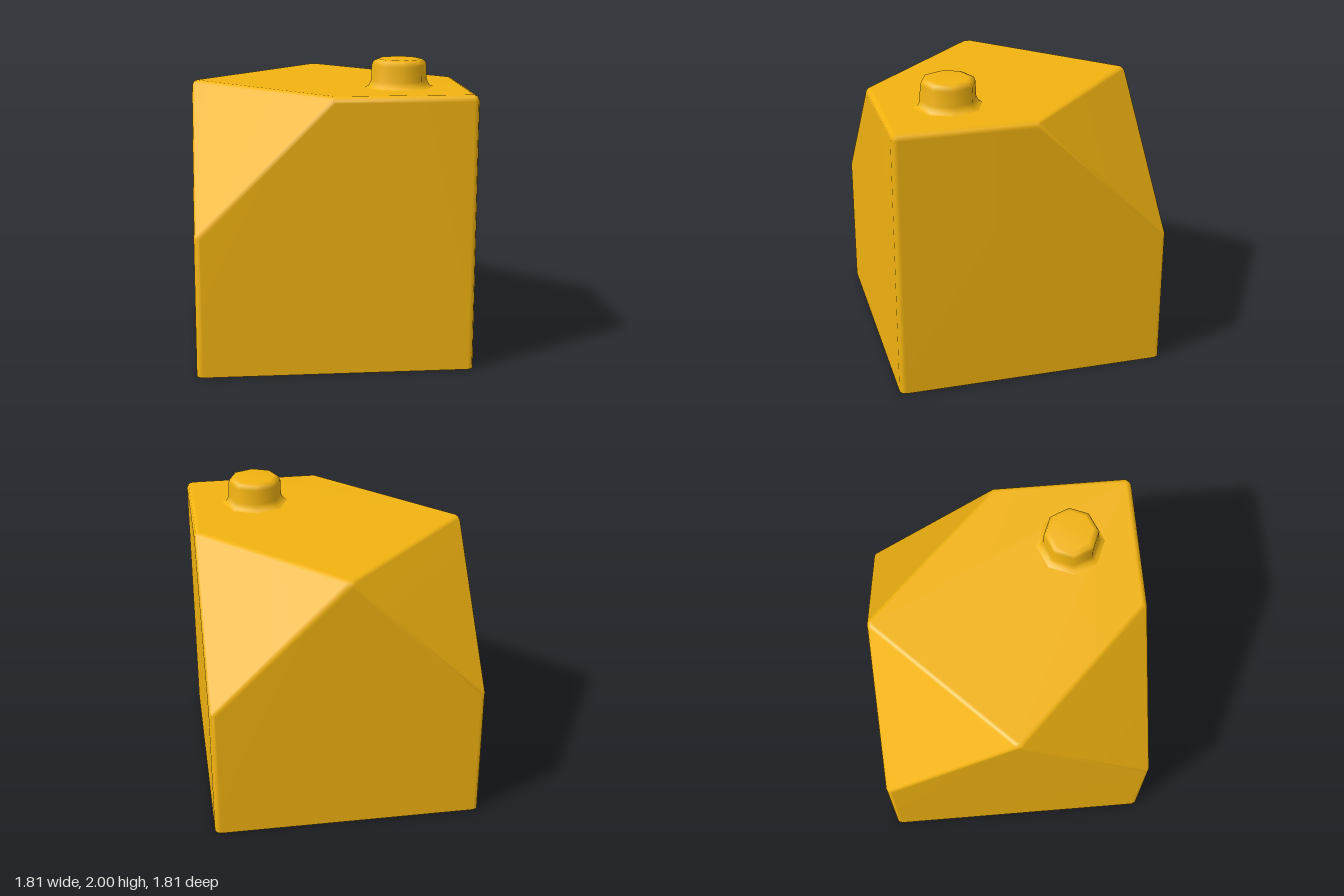
import * as THREE from 'three';
import { ConvexGeometry } from 'three/addons/geometries/ConvexGeometry.js';
import { mergeVertices, toCreasedNormals } from 'three/addons/utils/BufferGeometryUtils.js';

const H = 0.907, TOP = 1.815, BEVEL = 0.04;            // outer block
const INNER_H = 0.83, INNER_TOP = 1.738, INNER_CUT = 0.81; // cavity
const PEG = 0.453;                                     // stud and tube offset
const CUT_CORNERS = [[-1, -1], [1, -1], [-1, 1]];

const NORMALS = [[1, 0, 0], [-1, 0, 0], [0, 0, 1], [0, 0, -1], [0, 1, 0],
  ...CUT_CORNERS.map(([sx, sz]) => [sx, 1, sz])].map(n => new THREE.Vector3(...n).normalize());

// Box with three top corners sliced off, open at the bottom, edges rounded by r
function cutBlock(half, height, cut, r) {
  const h = half - r, top = height - r, c = cut - (3 - Math.sqrt(3)) * r;
  const core = [];
  for (const sx of [-1, 1]) for (const sz of [-1, 1]) core.push(new THREE.Vector3(sx * h, 0, sz * h));
  core.push(new THREE.Vector3(h, top, h));
  for (const [sx, sz] of CUT_CORNERS) {
    core.push(
      new THREE.Vector3(sx * h, top - c, sz * h),
      new THREE.Vector3(sx * (h - c), top, sz * h),
      new THREE.Vector3(sx * h, top, sz * (h - c)));
  }
  let points = core;
  if (r > 0) {
    // push each core corner out along the normals of the faces it touches
    points = [];
    const reach = NORMALS.map(n => Math.max(...core.map(p => p.dot(n))));
    for (const p of core) {
      const touching = NORMALS.filter((n, i) => reach[i] - p.dot(n) < 1e-6);
      touching.forEach((a, i) => touching.slice(i).forEach(b => {
        points.push(p.clone().addScaledVector(a.clone().add(b).normalize(), r));
      }));
    }
  }
  const hull = new ConvexGeometry(points);
  const pos = hull.attributes.position, kept = [];
  for (let i = 0; i < pos.count; i += 3) {
    if (Math.max(pos.getY(i), pos.getY(i + 1), pos.getY(i + 2)) < 1e-5) continue;
    // the cavity (r = 0) is seen from within, so its faces are turned over
    for (const k of r > 0 ? [0, 1, 2] : [0, 2, 1]) kept.push(pos.getX(i + k), pos.getY(i + k), pos.getZ(i + k));
  }
  const geo = new THREE.BufferGeometry();
  geo.setAttribute('position', new THREE.Float32BufferAttribute(kept, 3));
  if (r === 0) {
    geo.computeVertexNormals();
    return geo;
  }
  const smooth = mergeVertices(geo);
  smooth.computeVertexNormals();
  return smooth;
}

// Flat ring closing the wall at the bottom
function rimGeometry() {
  const s = new THREE.Shape(), k = H - BEVEL;
  [[1, 1], [-1, 1], [-1, -1], [1, -1]].forEach(([x, y], i) =>
    s.absarc(x * k, y * k, BEVEL, i * Math.PI / 2, (i + 1) * Math.PI / 2, false));
  const a = INNER_H;
  s.holes.push(new THREE.Path([[-a, -a], [-a, a], [a, a], [a, -a]].map(p => new THREE.Vector2(...p))));
  return new THREE.ShapeGeometry(s, 2).rotateX(Math.PI / 2);
}

const lathe = (profile, sides) =>
  new THREE.LatheGeometry(profile.map(p => new THREE.Vector2(...p)), sides);

// Hollow tube whose upper end follows the cavity ceiling
function tubeGeometry(sx, sz) {
  const geo = lathe([[0.14, 1], [0.14, 0], [0.18, 0], [0.18, 1]], 12);
  geo.translate(sx * PEG, 0, sz * PEG);
  const pos = geo.attributes.position;
  const sliced = CUT_CORNERS.some(([x, z]) => x === sx && z === sz);
  const plane = 2 * INNER_H + INNER_TOP - INNER_CUT;
  for (let i = 0; i < pos.count; i++) {
    if (pos.getY(i) < 0.5) continue;
    const slope = plane - sx * pos.getX(i) - sz * pos.getZ(i);
    pos.setY(i, sliced ? Math.min(INNER_TOP, slope) : INNER_TOP);
  }
  return toCreasedNormals(geo, 0.7);
}

export function createModel() {
  const group = new THREE.Group();
  const material = new THREE.MeshStandardMaterial({ color: 0xf2b310 });
  const add = (name, geometry) => {
    const mesh = new THREE.Mesh(geometry, material);
    mesh.name = name;
    group.add(mesh);
    return mesh;
  };

  add('outerShell', cutBlock(H, TOP, H, BEVEL));
  add('cavity', cutBlock(INNER_H, INNER_TOP, INNER_CUT, 0));
  add('bottomRim', rimGeometry());

  // Eight-sided stud with a flared foot and rounded top
  add('stud', lathe([[0.235, 1.812], [0.203, 1.825], [0.184, 1.86], [0.181, 1.96],
    [0.17, 1.988], [0.14, 2], [0, 2]], 8)).position.set(PEG, 0, PEG);

  for (const sx of [-1, 1]) for (const sz of [-1, 1]) {
    add(`${sz > 0 ? 'front' : 'back'}${sx > 0 ? 'Left' : 'Right'}Tube`, tubeGeometry(sx, sz));
  }
  return group;
}
